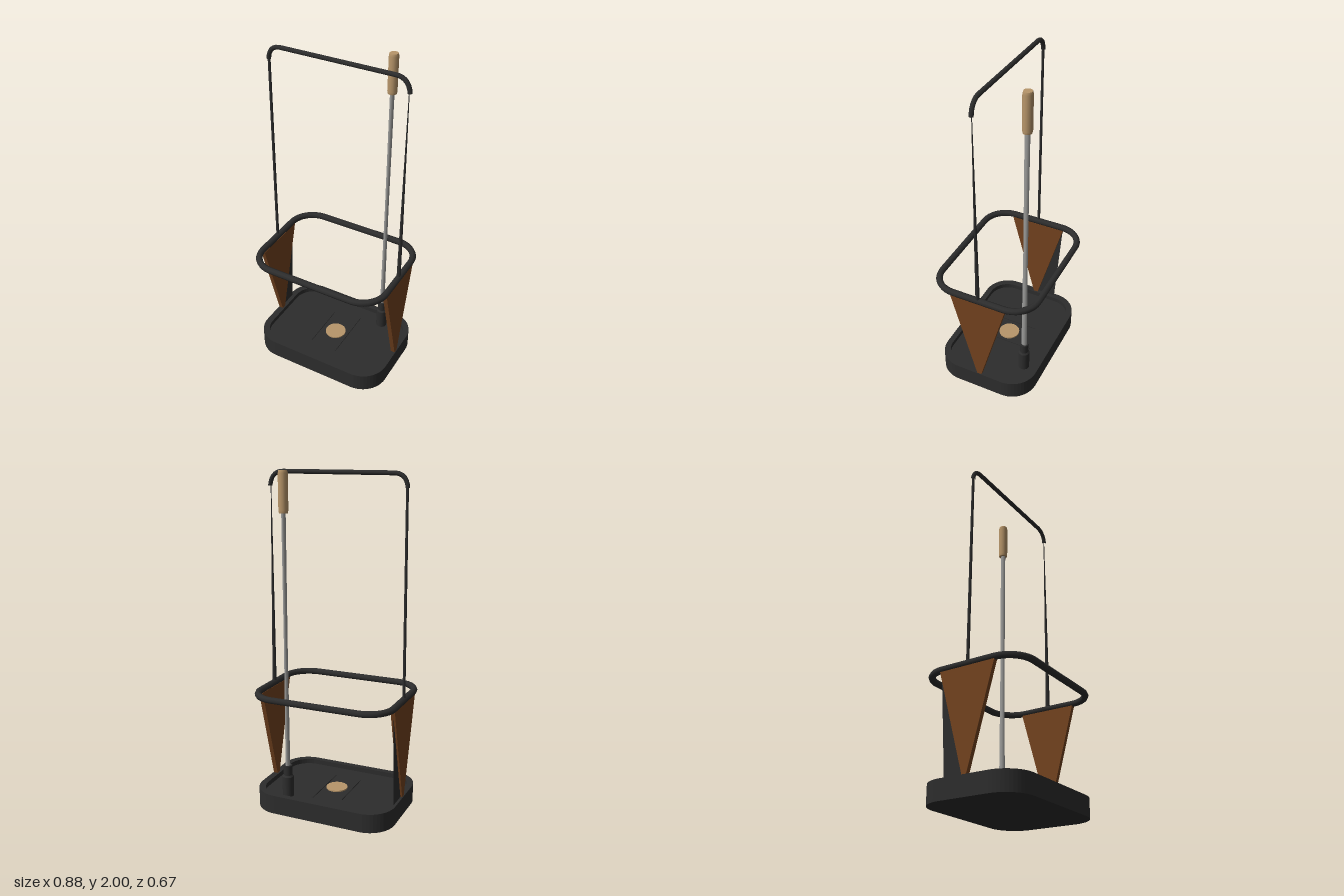
import * as THREE from 'three';

const mat = (name, color, side = THREE.FrontSide) => {
  const m = new THREE.MeshStandardMaterial({ color, side });
  m.name = name;
  return m;
};

// Rounded rectangle outline with half sizes a, b and corner radius r
function roundedRect(a, b, r, Type = THREE.Shape) {
  const s = new Type();
  [[1, 1], [-1, 1], [-1, -1], [1, -1]].forEach(([sx, sy], i) =>
    s.absarc(sx * (a - r), sy * (b - r), r, i * Math.PI / 2, (i + 1) * Math.PI / 2, false));
  s.closePath();
  return s;
}

export function createModel() {
  const group = new THREE.Group();
  const black = mat('black metal', 0x2d2d2d);
  const blackSheet = mat('black sheet', 0x2d2d2d, THREE.DoubleSide);
  const brown = mat('brown leather', 0x74431f);
  const tan = mat('tan wood', 0xb8966a);
  const steel = mat('steel', 0x9c9c9a);

  const add = (name, geometry, material, x = 0, y = 0, z = 0) => {
    const m = new THREE.Mesh(geometry, material);
    m.name = name;
    m.position.set(x, y, z);
    group.add(m);
    return m;
  };
  // Horizontal slab extruded upwards from its outline
  const slab = (shape, depth) =>
    new THREE.ExtrudeGeometry(shape, { depth, bevelEnabled: false, curveSegments: 6 }).rotateX(-Math.PI / 2);

  // Tray: solid floor and raised rim
  add('trayFloor', slab(roundedRect(0.435, 0.31, 0.16), 0.085), black);
  const rim = roundedRect(0.435, 0.31, 0.16);
  rim.holes.push(roundedRect(0.395, 0.275, 0.125, THREE.Path));
  add('trayRim', slab(rim, 0.03), black, 0, 0.085);

  // Tray details: wooden disc and two fine ribs
  add('trayDisc', new THREE.CylinderGeometry(0.065, 0.065, 0.008, 24), tan, 0, 0.089, 0.005);
  add('trayRib', new THREE.BoxGeometry(0.004, 0.006, 0.29), black, -0.095, 0.087, 0.005);
  add('trayRib', new THREE.BoxGeometry(0.012, 0.006, 0.34), black, 0.08, 0.087, -0.01);

  // Upper ring
  const ringPath = new THREE.CurvePath();
  const pts = roundedRect(0.42, 0.315, 0.15).getPoints(8);
  const loop = pts.filter((p, i) => i === 0 || p.distanceTo(pts[i - 1]) > 1e-4)
    .map(p => new THREE.Vector3(p.x, 0, p.y));
  if (loop[0].distanceTo(loop[loop.length - 1]) > 1e-4) loop.push(loop[0].clone());
  for (let i = 1; i < loop.length; i++) ringPath.add(new THREE.LineCurve3(loop[i - 1], loop[i]));
  add('ring', new THREE.TubeGeometry(ringPath, 120, 0.02, 8, true), black, 0, 0.715);

  // Tapered side panels, wide at the ring and narrow at the tray
  for (const side of [-1, 1]) {
    const s = new THREE.Shape([
      new THREE.Vector2(-0.175, 0.7), new THREE.Vector2(-0.01, 0.1),
      new THREE.Vector2(0.01, 0.1), new THREE.Vector2(0.175, 0.7),
    ]);
    const g = new THREE.ExtrudeGeometry(s, { depth: 0.026, bevelEnabled: false });
    g.translate(0, 0, -0.013).rotateY(Math.PI / 2);
    add('sidePanel', g, brown, side * 0.418);
  }

  // Dark gusset behind the right panel
  const gusset = new THREE.ShapeGeometry(new THREE.Shape([
    new THREE.Vector2(0.0, 0.1), new THREE.Vector2(0.13, 0.1), new THREE.Vector2(0.17, 0.69),
  ])).rotateY(Math.PI / 2);
  add('gusset', gusset, blackSheet, -0.42);

  // Hoop: top bar with bent corners
  const V = (x, y) => new THREE.Vector3(x, y, 0);
  const hoop = new THREE.CurvePath();
  hoop.add(new THREE.QuadraticBezierCurve3(V(-0.416, 1.91), V(-0.41, 1.986), V(-0.34, 1.987)));
  hoop.add(new THREE.LineCurve3(V(-0.34, 1.987), V(0.34, 1.987)));
  hoop.add(new THREE.QuadraticBezierCurve3(V(0.34, 1.987), V(0.41, 1.986), V(0.42, 1.905)));
  add('hoopTop', new THREE.TubeGeometry(hoop, 48, 0.013, 8), black);

  // Hoop legs, thinning upwards
  const leg = (x0, x1, r0, r1) => {
    const h = 1.2;
    const m = add('hoopLeg', new THREE.CylinderGeometry(r1, r0, h, 8), black, (x0 + x1) / 2, 0.72 + h / 2, 0);
    m.rotation.z = Math.atan2(x0 - x1, h);
  };
  leg(-0.422, -0.414, 0.009, 0.008);
  leg(0.42, 0.415, 0.013, 0.002);

  // Standing rod: socket, steel shaft, wooden grip
  const lathe = (pairs, n) => new THREE.LatheGeometry(pairs.map(([r, y]) => new THREE.Vector2(r, y)), n);
  const px = 0.227, pz = -0.207;
  add('rodSocket', lathe([[0.034, 0.085], [0.034, 0.21], [0.034, 0.21], [0.026, 0.22],
    [0.026, 0.22], [0.026, 0.28], [0.026, 0.28], [0, 0.28]], 12), black, px, 0, pz);
  const shaft = add('rodShaft', lathe([[0.018, 0.27], [0.014, 1.0], [0.016, 1.78]], 10), steel, px, 0, pz);
  shaft.scale.x = 0.75;
  add('rodGrip', lathe([[0, 1.77], [0.025, 1.77], [0.025, 1.77], [0.028, 1.785], [0.028, 1.985],
    [0.024, 2.0], [0.024, 2.0], [0, 2.0]], 14), tan, px, 0, pz);

  return group;
}
